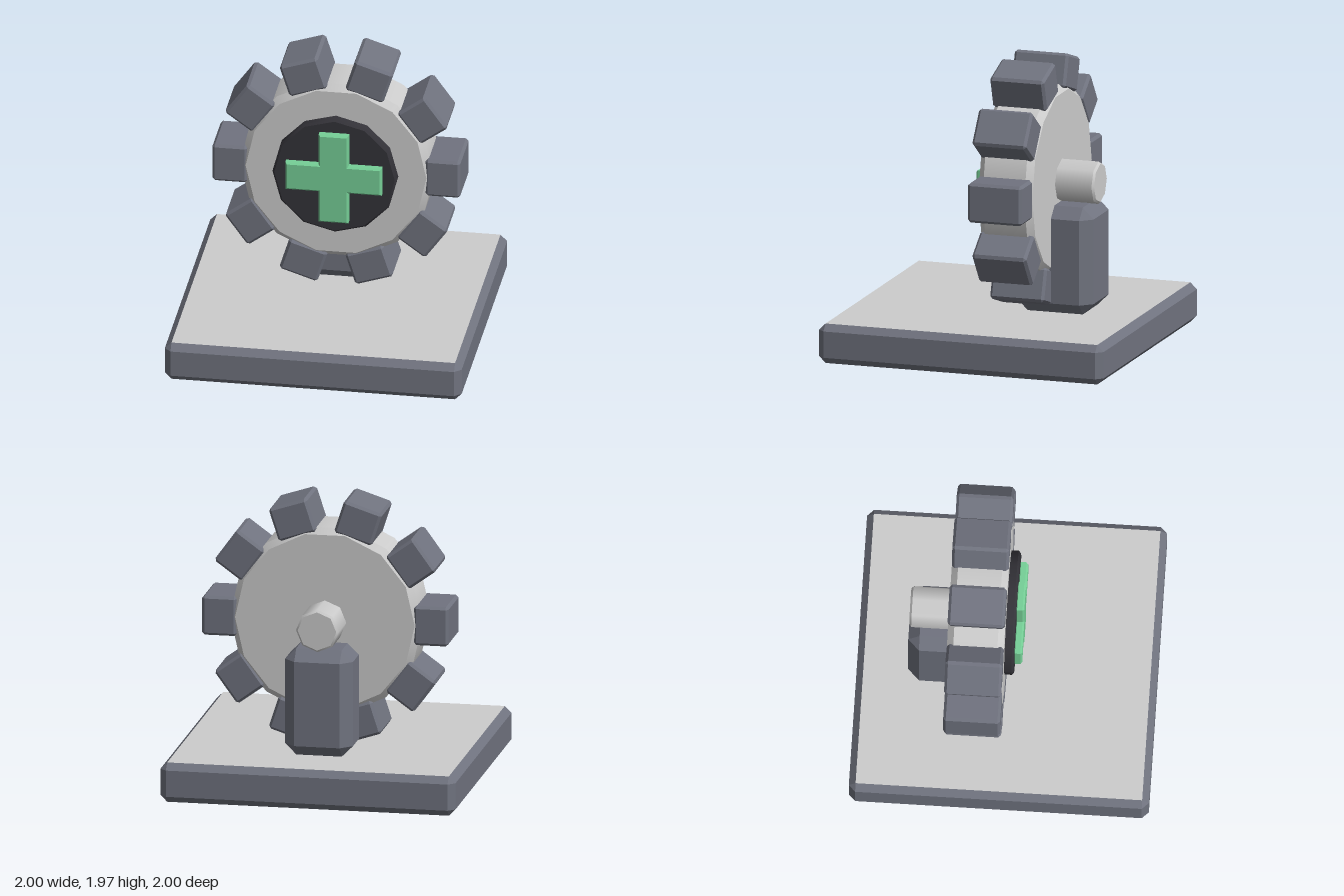
import * as THREE from 'three';
import { mergeGeometries } from 'three/addons/utils/BufferGeometryUtils.js';
import { ConvexGeometry } from 'three/addons/geometries/ConvexGeometry.js';

const mat = (name, color) => {
  const m = new THREE.MeshStandardMaterial({ color });
  m.name = name;
  return m;
};

// Box with every edge cut at 45 degrees
function chamferBox(w, h, d, c) {
  const pts = [];
  for (const sx of [-1, 1]) for (const sy of [-1, 1]) for (const sz of [-1, 1]) {
    const x = sx * w / 2, y = sy * h / 2, z = sz * d / 2;
    pts.push(
      new THREE.Vector3(x, y - sy * c, z - sz * c),
      new THREE.Vector3(x - sx * c, y, z - sz * c),
      new THREE.Vector3(x - sx * c, y - sy * c, z)
    );
  }
  return new ConvexGeometry(pts);
}

// Bevelled disc along z, smooth around its rim but sharp between profile steps
function disc(radius, back, front, bevel, sides, turn = 0) {
  const profile = [
    [0, back], [radius - bevel, back], [radius, back + bevel],
    [radius, front - bevel], [radius - bevel, front], [0, front]
  ].map(([r, z]) => new THREE.Vector2(r, z));
  const bands = [];
  for (let i = 0; i < profile.length - 1; i++) {
    bands.push(new THREE.LatheGeometry([profile[i], profile[i + 1]], sides, turn));
  }
  return mergeGeometries(bands).rotateX(Math.PI / 2);
}

export function createModel() {
  const steel = mat('steel grey', 0x70737f);
  const light = mat('light grey', 0xcccccc);
  const dark = mat('charcoal', 0x343339);
  const green = mat('green', 0x76d097);

  const model = new THREE.Group();
  model.name = 'wheelOnStand';
  const add = (parent, name, geometry, material, x = 0, y = 0, z = 0) => {
    const mesh = new THREE.Mesh(geometry, material);
    mesh.name = name;
    mesh.position.set(x, y, z);
    parent.add(mesh);
    return mesh;
  };

  // Base: steel edges, light top and bottom faces
  const baseGeo = chamferBox(2, 0.27, 2, 0.045);
  const normals = baseGeo.attributes.normal;
  for (let i = 0; i < normals.count; i += 3) {
    baseGeo.addGroup(i, 3, Math.abs(normals.getY(i)) > 0.9 ? 1 : 0);
  }
  add(model, 'base', baseGeo, [steel, light], 0, 0.135, 0);

  // Post carrying the axle
  add(model, 'post', chamferBox(0.46, 0.73, 0.54, 0.076), steel, 0, 0.635, -0.385);

  // Wheel assembly, centred on the axle
  const wheel = new THREE.Group();
  wheel.name = 'wheelAssembly';
  wheel.position.y = 1.14;
  model.add(wheel);
  add(wheel, 'wheel', disc(0.652, -0.38, 0, 0.043, 14, Math.PI / 14), light);
  add(wheel, 'axle', disc(0.145, -0.65, -0.3, 0.014, 8), light);
  add(wheel, 'hub', disc(0.42, -0.02, 0.063, 0.014, 12), dark);

  // Ten teeth around the rim
  const toothGeo = chamferBox(0.235, 0.27, 0.38, 0.018);
  toothGeo.translate(0.7175, 0, -0.19);
  for (let i = 0; i < 10; i++) {
    add(wheel, 'tooth' + (i + 1), toothGeo, steel).rotation.z = i * Math.PI / 5;
  }

  // Raised cross on the hub
  const b = 0.012, a = 0.1 - b, l = 0.325 - b;
  const outline = [
    [a, a], [a, l], [-a, l], [-a, a], [-l, a], [-l, -a],
    [-a, -a], [-a, -l], [a, -l], [a, -a], [l, -a], [l, a]
  ].map(([x, y]) => new THREE.Vector2(x, y));
  const crossGeo = new THREE.ExtrudeGeometry(new THREE.Shape(outline), {
    depth: 0.06 - 2 * b, bevelThickness: b, bevelSize: b, bevelSegments: 1
  });
  add(wheel, 'cross', crossGeo, green, 0, 0, 0.055 + b);

  return model;
}
